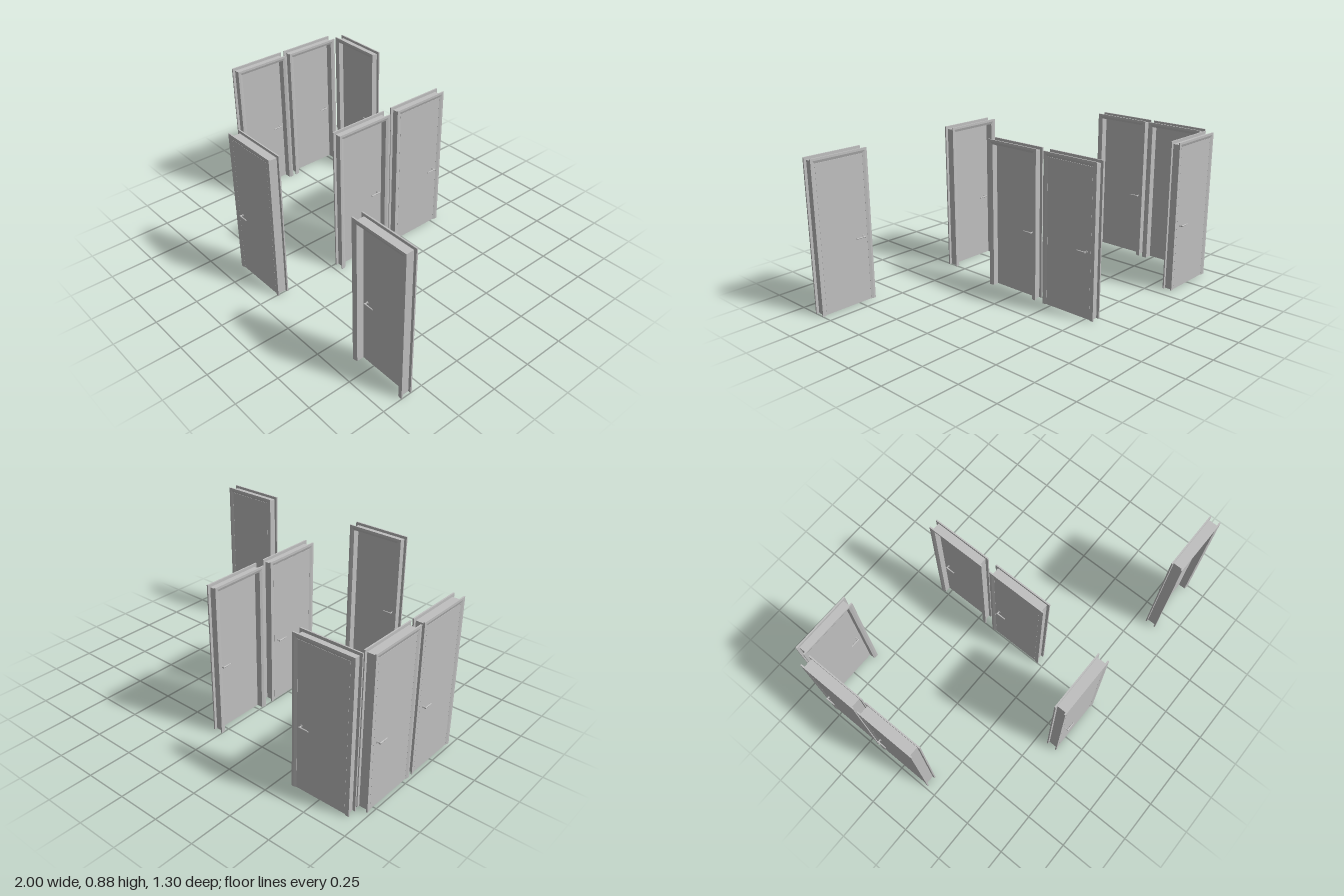
import * as THREE from 'three';

const grey = new THREE.MeshStandardMaterial({ color: 0xc0c0c0 });
grey.name = 'door grey';

const HALF_W = 0.179, HEIGHT = 0.883; // outer size of the casing
const CASING_T = 0.008, BAND = 0.028; // casing thickness and width
const LEAF_T = 0.017;

function add(parent, geometry, name, x = 0, y = 0, z = 0) {
  const mesh = new THREE.Mesh(geometry, grey);
  mesh.name = name;
  mesh.position.set(x, y, z);
  parent.add(mesh);
  return mesh;
}

// Sweeps a profile of [inset, depth] points up one jamb, over the head and down the other, with mitred corners
function sweepSurround(halfW, height, profile) {
  const stations = [[-1, 0], [-1, 1], [1, 1], [1, 0]].map(([side, top]) =>
    profile.map(([t, d]) => [side * (halfW - t), top * (height - t), d]));
  const pos = [];
  const tri = (a, b, c) => pos.push(...a, ...b, ...c);
  const n = profile.length;
  for (let i = 0; i < 3; i++) {
    for (let j = 0; j < n; j++) {
      const k = (j + 1) % n, s = stations[i], e = stations[i + 1];
      tri(s[j], s[k], e[k]);
      tri(s[j], e[k], e[j]);
    }
  }
  // Feet of both jambs
  const first = stations[0], last = stations[3];
  for (let j = 1; j < n - 1; j++) {
    tri(first[0], first[j + 1], first[j]);
    tri(last[0], last[j], last[j + 1]);
  }
  const g = new THREE.BufferGeometry();
  g.setAttribute('position', new THREE.Float32BufferAttribute(pos, 3));
  g.computeVertexNormals();
  return g;
}

// Lever handle facing +z, the lever pointing along dir
function makeHandle(dir) {
  const handle = new THREE.Group();
  handle.name = 'handle';
  const rose = new THREE.CylinderGeometry(0.0075, 0.0075, 0.003, 16).rotateX(Math.PI / 2);
  const stem = new THREE.CylinderGeometry(0.0035, 0.0035, 0.017, 12).rotateX(Math.PI / 2);
  const lever = new THREE.CylinderGeometry(0.003, 0.0048, 0.058, 12).rotateZ(-dir * Math.PI / 2);
  add(handle, rose, 'handleRose', 0, 0, 0.0015);
  add(handle, stem, 'handleStem', 0, 0, 0.0085);
  add(handle, lever, 'handleLever', dir * 0.025, 0, 0.0165);
  return handle;
}

// Door whose leaf sits flush with the +z casing; side is where the handle is
function makeDoor(depth, side) {
  const door = new THREE.Group();
  door.name = 'door';
  const half = depth / 2, inner = half - CASING_T;

  // Bevelled casings on both faces
  const casing = sweepSurround(HALF_W, HEIGHT, [
    [0, inner], [0, half], [0.013, half], [BAND, half - 0.005], [BAND, inner],
  ]);
  add(door, casing, 'frontCasing');
  add(door, casing, 'backCasing').rotation.y = Math.PI;

  // Lining between the casings
  const lining = sweepSurround(HALF_W - 0.016, HEIGHT - 0.016, [
    [0, -inner], [0, inner], [BAND - 0.016, inner], [BAND - 0.016, -inner],
  ]);
  add(door, lining, 'lining');

  // Leaf
  const leafFront = half - 0.005, leafH = HEIGHT - BAND - 0.002;
  add(door, new THREE.BoxGeometry(2 * (HALF_W - BAND) - 0.001, leafH, LEAF_T), 'leaf',
    0, leafH / 2 + 0.001, leafFront - LEAF_T / 2);

  // Handles on both faces of the leaf
  const outer = makeHandle(-side);
  outer.position.set(side * 0.122, 0.387, leafFront);
  const recessed = makeHandle(side);
  recessed.position.set(side * 0.122, 0.387, leafFront - LEAF_T);
  recessed.rotation.y = Math.PI;
  door.add(outer, recessed);
  return door;
}

export function createModel() {
  const model = new THREE.Group();
  model.name = 'doorSet';
  const Q = Math.PI / 2;
  // Centre x, centre z, turn, depth, handle side
  const doors = [
    [-0.755, -0.605, Math.PI, 0.06, -1],
    [-0.95, -0.373, -Q, 0.068, -1],
    [-0.95, 0.009, -Q, 0.068, -1],
    [0.031, -0.373, Q, 0.061, 1],
    [0.031, 0.039, -Q, 0.061, -1],
    [-0.17, 0.600, 0, 0.068, -1],
    [0.821, 0.600, Math.PI, 0.068, 1],
  ];
  for (const [x, z, turn, depth, side] of doors) {
    const door = makeDoor(depth, side);
    door.position.set(x, 0, z);
    door.rotation.y = turn;
    model.add(door);
  }
  return model;
}
